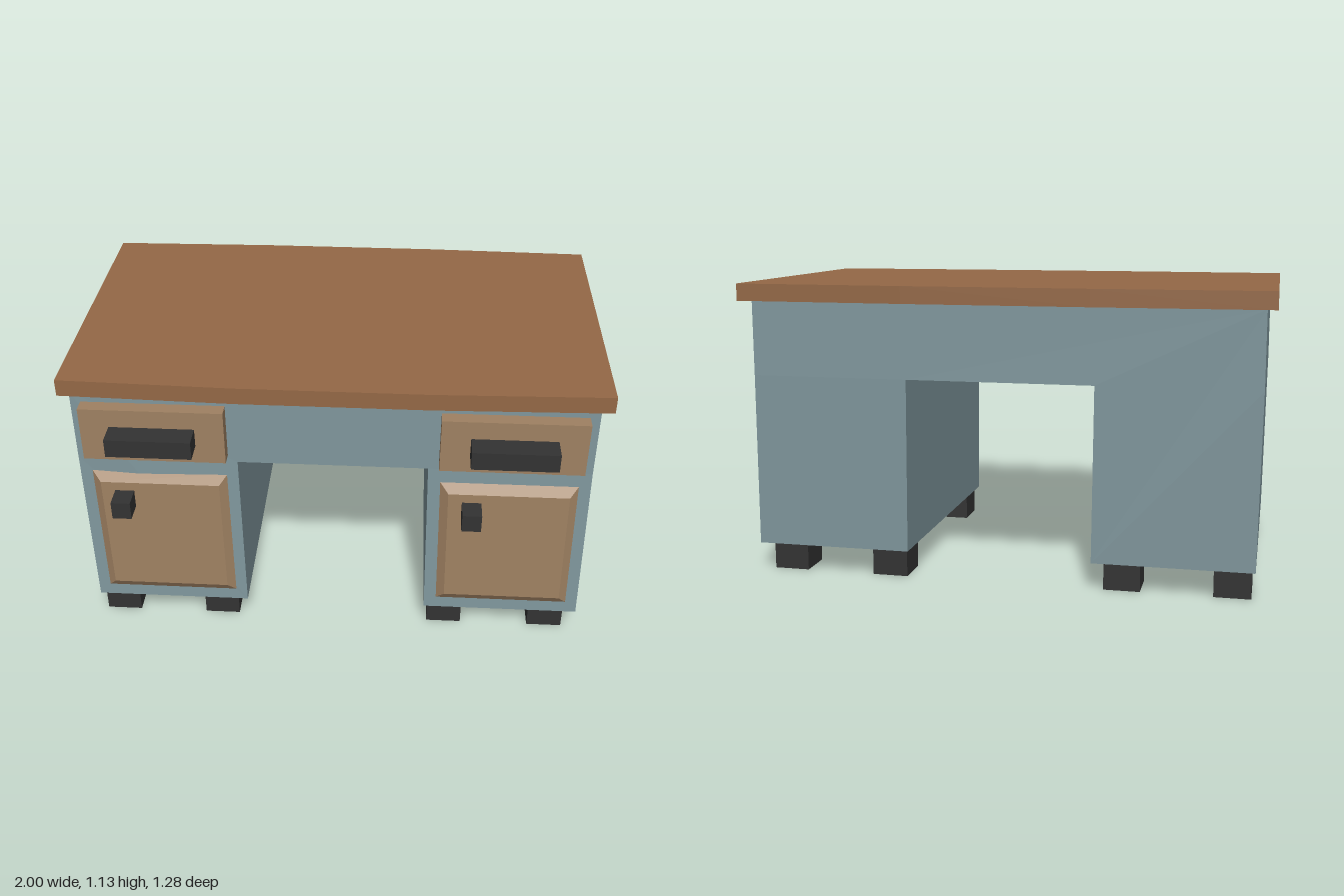
import * as THREE from 'three';

const mat = (color) => new THREE.MeshStandardMaterial({ color, flatShading: true });
const wood = mat(0x946846), paint = mat(0x80979d), panel = mat(0x9f8162), dark = mat(0x333333);

const KNEE = 0.78; // height of the knee opening

// The pedestals lean slightly to +x and +z below the knee opening.
function lean(geometry) {
  const p = geometry.attributes.position;
  for (let i = 0; i < p.count; i++) {
    const k = Math.max(0, (KNEE - p.getY(i)) / 0.67);
    p.setX(i, p.getX(i) + 0.01 * k);
    p.setZ(i, p.getZ(i) + 0.015 * k);
  }
  geometry.computeVertexNormals();
  return geometry;
}

function outline(points) {
  return new THREE.Shape(points.map(([x, y]) => new THREE.Vector2(x, y)));
}

export function createModel() {
  const desk = new THREE.Group();
  desk.name = 'desk';

  const add = (name, geometry, material) => {
    const mesh = new THREE.Mesh(geometry, material);
    mesh.name = name;
    desk.add(mesh);
    return mesh;
  };
  // Box given by its limits on each axis
  const box = (name, [x0, x1], [y0, y1], [z0, z1], material) => {
    const g = new THREE.BoxGeometry(x1 - x0, y1 - y0, z1 - z0);
    g.translate((x0 + x1) / 2, (y0 + y1) / 2, (z0 + z1) / 2);
    return add(name, g, material);
  };

  // Table top with gently bowed long edges
  const top = new THREE.ExtrudeGeometry(outline([
    [-1, -0.53], [-0.35, -0.548], [0.35, -0.548], [1, -0.53],
    [1, 0.627], [0.35, 0.642], [-0.35, 0.642], [-1, 0.627],
  ]), { depth: 0.065, bevelEnabled: false });
  top.rotateX(-Math.PI / 2).translate(0, 1.067, 0);
  add('tableTop', top, wood);

  // Body with knee opening, one arch-shaped extrusion
  const body = new THREE.ExtrudeGeometry(outline([
    [-0.963, 0.11], [-0.36, 0.11], [-0.36, KNEE], [0.352, KNEE], [0.352, 0.11],
    [0.958, 0.11], [0.958, KNEE], [0.958, 1.067], [-0.963, 1.067], [-0.963, KNEE],
  ]), { depth: 1.09, bevelEnabled: false });
  body.translate(0, 0, -0.588);
  add('body', lean(body), paint);

  for (const [side, x] of [['right', -0.66], ['left', 0.656]]) {
    // Drawer with bar handle
    box(side + 'Drawer', [x - 0.265, x + 0.265], [0.81, 1.027], [0.49, 0.555], panel);
    box(side + 'DrawerHandle', [x - 0.157, x + 0.157], [0.883, 0.955], [0.55, 0.642], dark);

    // Door with bevelled raised front
    const door = new THREE.BoxGeometry(0.518, 0.565, 0.025);
    const p = door.attributes.position;
    for (let i = 0; i < p.count; i++) {
      if (p.getZ(i) < 0) continue;
      p.setX(i, Math.sign(p.getX(i)) * 0.226);
      p.setY(i, Math.sign(p.getY(i)) * 0.243);
    }
    door.translate(x, 0.44, 0.513);
    add(side + 'Door', lean(door), panel);
    box(side + 'DoorKnob', [x - 0.172, x - 0.099], [0.575, 0.647], [0.52, 0.61], dark);

    // Four feet under each pedestal
    for (const dx of [-0.211, 0.198])
      for (const z of [0.412, -0.47])
        box(side + 'Foot', [x + dx - 0.069, x + dx + 0.069], [0, 0.112], [z - 0.069, z + 0.069], dark);
  }
  return desk;
}
